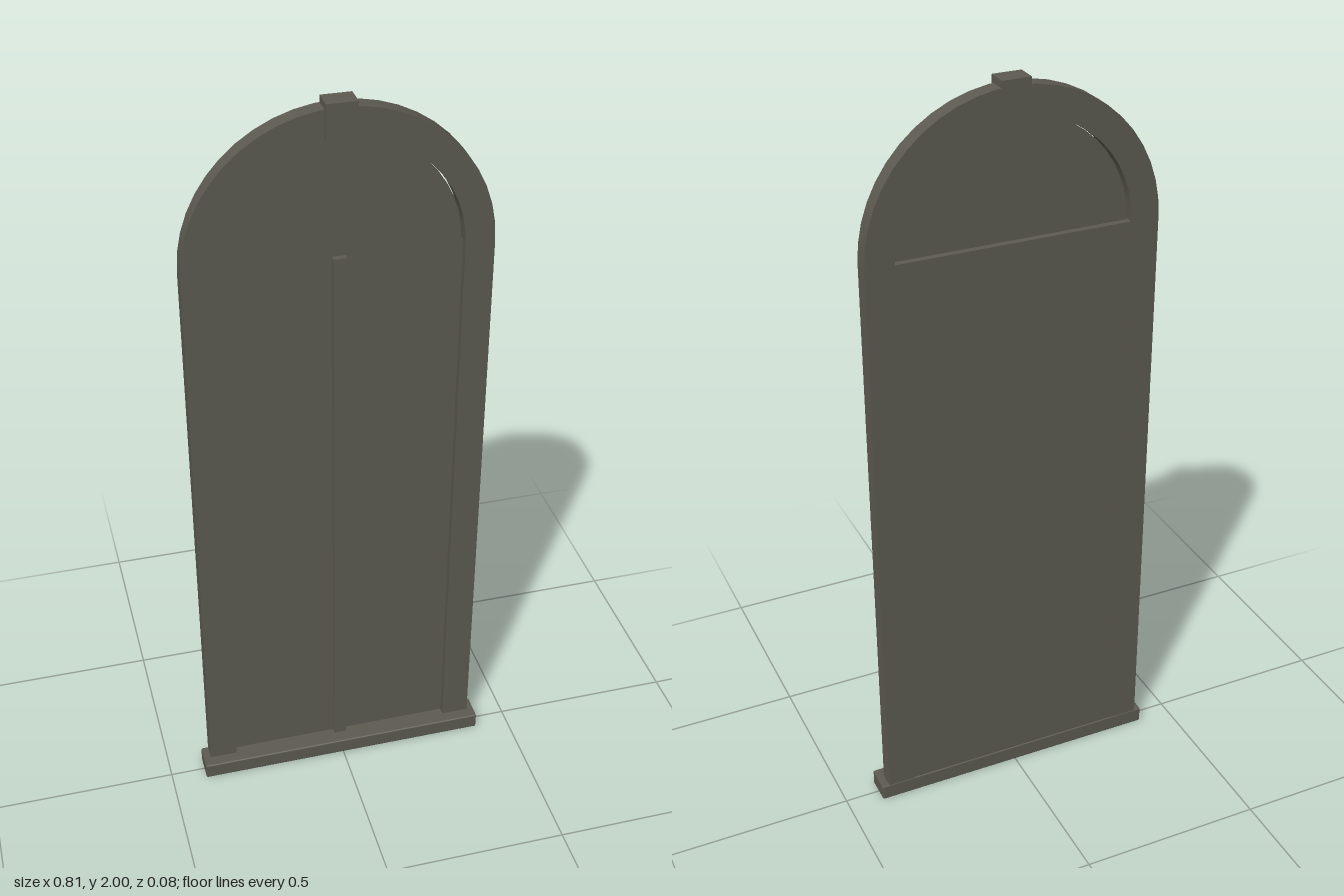
import * as THREE from 'three';
import { toCreasedNormals } from 'three/addons/utils/BufferGeometryUtils.js';
import { RoundedBoxGeometry } from 'three/addons/geometries/RoundedBoxGeometry.js';

const SPRING = 1.6;            // height where the arch begins
const OUTER = 0.385, INNER = 0.31;
const BACK = -0.038, FRONT = 0.006, PANEL_FRONT = -0.015;

export function createModel() {
  const group = new THREE.Group();
  const stone = new THREE.MeshStandardMaterial({ color: 0x5c5a50 });
  stone.name = 'dark grey stone';

  const add = (name, geometry) => {
    const mesh = new THREE.Mesh(geometry, stone);
    mesh.name = name;
    group.add(mesh);
    return mesh;
  };
  // Box given by its limits, with an optional small bevel
  const box = (name, x0, x1, y0, y1, z0, z1, bevel = 0) => {
    const size = [x1 - x0, y1 - y0, z1 - z0];
    const geometry = bevel
      ? new RoundedBoxGeometry(...size, 1, bevel)
      : new THREE.BoxGeometry(...size);
    add(name, geometry).position.set((x0 + x1) / 2, (y0 + y1) / 2, (z0 + z1) / 2);
  };
  const extrude = (name, shape, z0, z1) => {
    const geometry = new THREE.ExtrudeGeometry(shape, {
      depth: z1 - z0, bevelEnabled: false, curveSegments: 12,
    });
    add(name, toCreasedNormals(geometry, 0.5)).position.set(0, SPRING, z0);
  };

  // Sill
  box('sill', -0.405, 0.405, 0, 0.045, -0.038, 0.038, 0.004);

  // Side jambs
  box('leftJamb', INNER, OUTER, 0.045, SPRING, BACK, FRONT);
  box('rightJamb', -OUTER, -INNER, 0.045, SPRING, BACK, FRONT);

  // Half-round arch
  const arch = new THREE.Shape();
  arch.absarc(0, 0, OUTER, 0, Math.PI, false);
  arch.absarc(0, 0, INNER, Math.PI, 0, true);
  arch.closePath();
  extrude('arch', arch, BACK, FRONT);

  // Keystone
  box('keystone', -0.038, 0.038, 1.91, 2, BACK, 0.018);

  // Lower panel and the thin half-round panel above it
  box('panel', -INNER, INNER, 0.045, SPRING, -0.036, PANEL_FRONT);
  const lunette = new THREE.Shape();
  lunette.absellipse(0, 0, 0.306, 0.309, 0, Math.PI, false, 0);
  lunette.closePath();
  extrude('archPanel', lunette, PANEL_FRONT - 0.004, PANEL_FRONT);

  // Central strip
  box('centreStrip', -0.017, 0.017, 0.045, SPRING, PANEL_FRONT, 0.001);

  return group;
}
